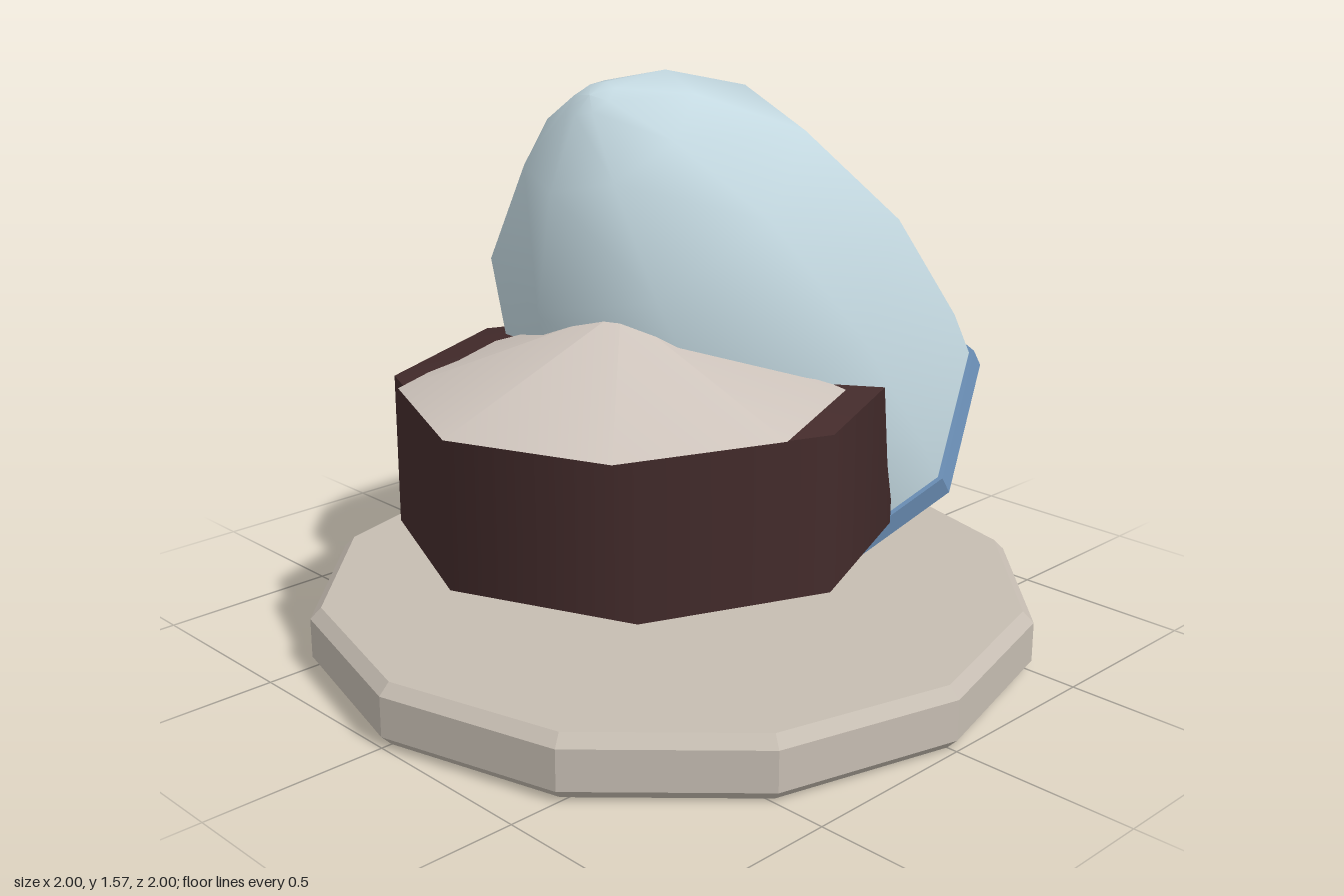
import * as THREE from 'three';

const material = (name, color) => {
  const m = new THREE.MeshStandardMaterial({ color });
  m.name = name;
  return m;
};

const part = (name, geometry, mat, x = 0, y = 0, z = 0) => {
  const mesh = new THREE.Mesh(geometry, mat);
  mesh.name = name;
  mesh.position.set(x, y, z);
  return mesh;
};

// Turned shape from [radius, height] pairs
const turned = (profile, sides) =>
  new THREE.LatheGeometry(profile.map(([r, h]) => new THREE.Vector2(r, h)), sides);

// Hard facets for a turned shape
const faceted = (geometry) => {
  const g = geometry.toNonIndexed();
  g.computeVertexNormals();
  return g;
};

// Eight-sided cone with its rim at y = 0; a negative height points it down
const cone = (radius, height) => {
  const g = new THREE.ConeGeometry(radius, Math.abs(height), 8, 1, true);
  g.translate(0, Math.abs(height) / 2, 0);
  if (height < 0) g.rotateX(Math.PI);
  return g;
};

export function createModel() {
  const stone = material('plate stone', 0xc6bdb2);
  const cream = material('icing cream', 0xcec4bc);
  const brown = material('cake brown', 0x432b2b);
  const glass = material('dome pale blue', 0xc3d8e0);
  const blue = material('rim blue', 0x6d92ba);
  glass.side = THREE.DoubleSide;

  const model = new THREE.Group();
  model.name = 'cakeStand';

  // Chamfered twelve-sided plate
  model.add(part('plate', faceted(turned(
    [[0, 0], [0.97, 0], [1, 0.03], [1, 0.14], [0.97, 0.17], [0, 0.17]], 12)), stone));

  // Cake: drum with a pointed bottom and a low pointed top
  const cake = new THREE.Group();
  cake.name = 'cake';
  cake.position.set(-0.17, 0, 0.07);
  cake.add(
    part('cakeSide', new THREE.CylinderGeometry(0.655, 0.655, 0.405, 8, 1, true), brown, 0, 0.5925),
    part('cakeTop', cone(0.655, 0.165), brown, 0, 0.795),
    part('cakeBottom', cone(0.655, -0.2), brown, 0, 0.39));
  model.add(cake);

  // Icing: a wide cone with a shallow underside, set off centre
  const icing = new THREE.Group();
  icing.name = 'icing';
  icing.position.set(-0.33, 0.815, 0.155);
  icing.add(
    part('icingTop', cone(0.565, 0.21), cream),
    part('icingUnderside', cone(0.565, -0.15), cream));
  model.add(icing);

  // Tilted dome leaning on the cake, with a band around its mouth
  const cover = new THREE.Group();
  cover.name = 'cover';
  cover.position.set(0.45, 0.46, -0.015);
  cover.rotation.z = THREE.MathUtils.degToRad(34);
  cover.add(
    part('dome', turned([[0.6, 0], [0.608, 0.2], [0.575, 0.58], [0.45, 0.955],
      [0.24, 1.18], [0.065, 1.285], [0, 1.295]], 8), glass),
    part('domeRim', faceted(turned([[0.598, -0.01], [0.617, -0.01], [0.617, 0.048],
      [0.598, 0.048], [0.598, -0.01]], 8)), blue));
  model.add(cover);

  return model;
}
